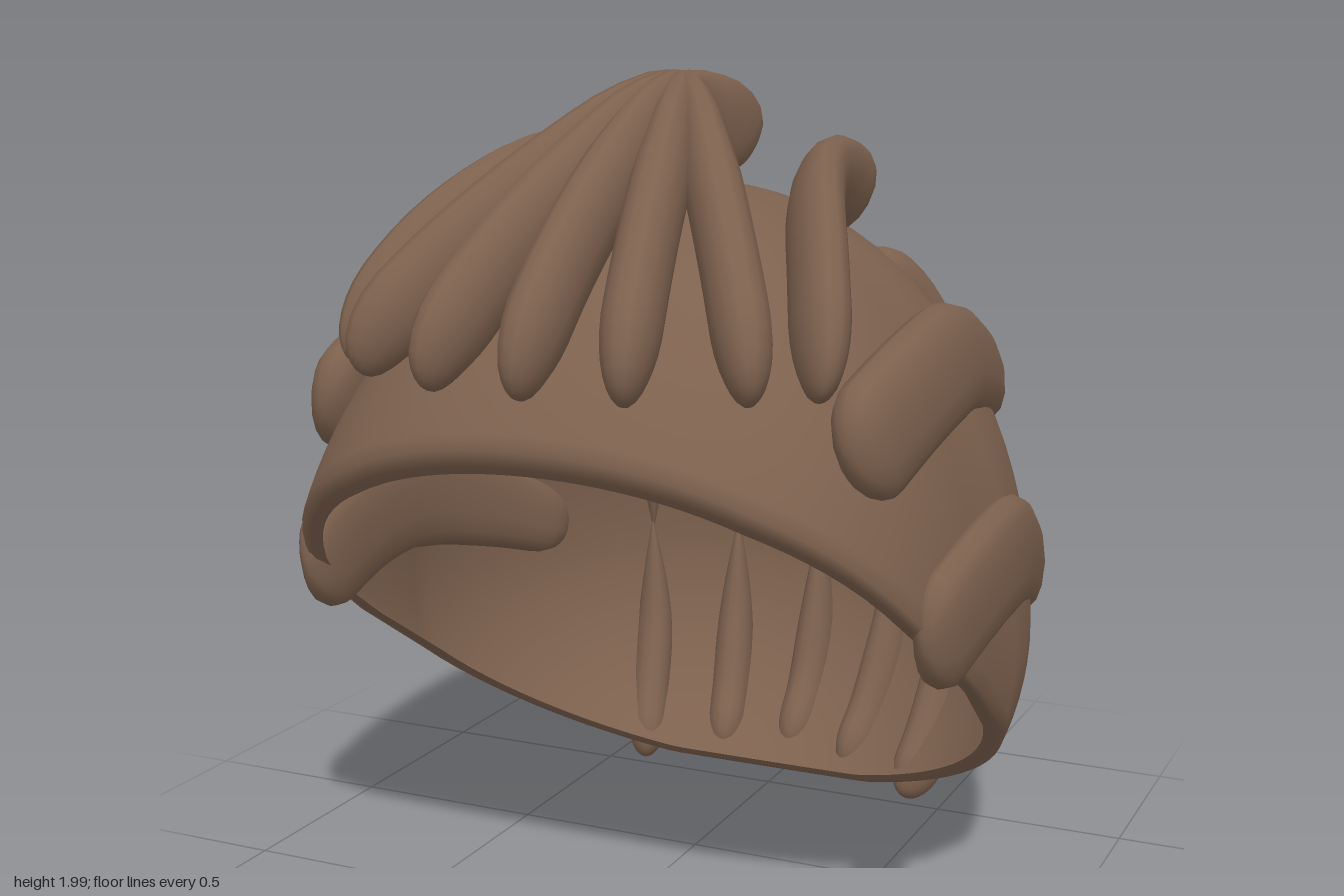
import * as THREE from 'three';
import { mergeVertices } from 'three/addons/utils/BufferGeometryUtils.js';

const CY = 0.62, RX = 0.84, TOP = 1.11, BOTTOM = 0.75, BACK = 0.91, FRONT = 1.085;
const V = (x, y, z) => new THREE.Vector3(x, y, z);

// Closed rings of points joined into one smooth surface
function loft(rings) {
  const n = rings[0].length, pos = [], idx = [];
  rings.forEach(r => r.forEach(p => pos.push(p.x, p.y, p.z)));
  for (let i = 0; i < rings.length - 1; i++) {
    for (let j = 0; j < n; j++) {
      const k = (j + 1) % n, a = i * n + j, b = i * n + k, c = a + n, d = b + n;
      idx.push(a, c, b, b, c, d);
    }
  }
  const g = new THREE.BufferGeometry();
  g.setAttribute('position', new THREE.Float32BufferAttribute(pos, 3));
  g.setIndex(idx);
  const m = mergeVertices(g, 1e-4);
  m.computeVertexNormals();
  return m;
}

// Dome: rounder at the back, squarer and fuller at the front
function domePoint(phi, theta) {
  const c = Math.cos(phi), r = Math.cos(theta), s = Math.sin(theta);
  const z = c > 0 ? FRONT * Math.pow(c, 0.53) : BACK * c;
  return V(RX * r * Math.sin(phi), CY + (s > 0 ? TOP : BOTTOM) * s, r * z);
}

// Height of the slanted opening at each depth
const RIM = [[-0.56, 0.025], [-0.5, 0.05], [0.08, 0.5], [0.3, 0.64], [0.55, 0.835], [0.83, 1.12], [0.91, 1.225]];
function rimY(z) {
  if (z <= RIM[0][0]) return RIM[0][1];
  for (let i = 1; i < RIM.length; i++) {
    const [z0, y0] = RIM[i - 1], [z1, y1] = RIM[i];
    if (z <= z1) return y0 + (y1 - y0) * (z - z0) / (z1 - z0);
  }
  return RIM[RIM.length - 1][1];
}

function capGeometry() {
  const N = 96, M = 28, rings = [];
  const ends = [];
  for (let j = 0; j < N; j++) {
    const phi = j / N * Math.PI * 2;
    let lo = -1.5, hi = 1.5;
    for (let k = 0; k < 40; k++) {
      const mid = (lo + hi) / 2, p = domePoint(phi, mid);
      if (p.y > rimY(p.z)) hi = mid; else lo = mid;
    }
    ends.push(hi);
  }
  for (let i = 0; i <= M; i++) {
    rings.push(ends.map((e, j) =>
      domePoint(j / N * Math.PI * 2, Math.PI / 2 + (e - Math.PI / 2) * i / M)));
  }
  // Rounded lip turned inward, deeper over the forehead
  const rim = rings[M], centre = V(0, 0.62, 0);
  for (const [inset, drop] of [[0.02, 0.03], [0.05, 0.035]]) {
    rings.push(rim.map(p => {
      const q = p.clone().add(centre.clone().sub(p).setLength(inset));
      q.y -= drop * Math.max(0.2, Math.min(1, p.z));
      return q;
    }));
  }
  return loft(rings);
}

// Lock of hair: w = half width along the dome, h = half height out of it.
// capA and capB are the lengths of the rounded or pointed ends. tilt is how
// far the lock leans square to the dome; box below 1 squares the section.
function lockGeometry(pts, { w, h, capA, capB, pointA = false, pointB = false, startW = 1, tilt = 1, box = 1 }) {
  const curve = new THREE.CatmullRomCurve3(pts), M = 28, N = 14, rings = [];
  const end = (t, e, point) => t >= e ? 1
    : point ? Math.sin(t / e * Math.PI / 2) : Math.sqrt(Math.max(0, 1 - (1 - t / e) ** 2));
  const round = v => Math.sign(v) * Math.pow(Math.abs(v), box);
  for (let i = 0; i <= M; i++) {
    const t = (1 - Math.cos(Math.PI * i / M)) / 2;
    const p = curve.getPointAt(t), T = curve.getTangentAt(t);
    const away = V(p.x, (p.y - 0.75) * tilt, p.z * tilt);
    const side = T.clone().cross(away).normalize();
    const out = side.clone().cross(T);
    const s = end(t, capA, pointA) * end(1 - t, capB, pointB);
    const ww = w * s * (startW + (1 - startW) * Math.min(1, t * 2));
    rings.push(Array.from({ length: N }, (_, j) => {
      const a = j / N * Math.PI * 2;
      return p.clone().addScaledVector(side, ww * round(Math.cos(a)))
        .addScaledVector(out, h * s * round(Math.sin(a)));
    }));
  }
  return loft(rings);
}

export function createModel() {
  const group = new THREE.Group();
  group.name = 'hair';
  const brown = new THREE.MeshStandardMaterial({ color: 0x7d614e, side: THREE.DoubleSide });
  brown.name = 'brown';

  const add = (name, geometry) => {
    const m = new THREE.Mesh(geometry, brown);
    m.name = name;
    group.add(m);
  };
  const addLock = (name, pts, opt) => add(name, lockGeometry(pts.map(p => V(...p)), opt));
  const addPair = (name, pts, opt) => {
    addLock(name + 'Left', pts, opt);
    addLock(name + 'Right', pts.map(([x, y, z]) => [-x, y, z]), opt);
  };

  add('cap', capGeometry());

  // Fringe: five locks gathered in a knot on the crown and fanned to the front
  const fan = [[1.9, 0], [1.875, 0.16], [1.815, 0.32], [1.7, 0.56], [1.555, 0.79], [1.43, 0.94], [1.335, 1]];
  [[0, 0.9], [0.235, 0.875], [0.47, 0.765]].forEach(([xe, ze], i) => {
    const pts = [[0.044 * i, 1.79, -0.13], [0.038 * i, 1.865, -0.05]];
    for (const [y, s] of fan) {
      pts.push([0.018 * i * (1 - s) + xe * s, y - 0.06 * i * s * (1 - s), 0.1 + (ze - 0.1) * s]);
    }
    const opt = { w: 0.066, h: 0.1, startW: 0.45, capA: 0.05, capB: 0.16 };
    if (i) addPair('fringeLock' + i, pts, opt); else addLock('fringeLockCentre', pts, opt);
  });

  // Curved locks down each side
  addPair('crownLock', [[0.33, 1.67, -0.23], [0.335, 1.725, -0.1], [0.35, 1.74, 0.05], [0.4, 1.695, 0.22],
    [0.485, 1.575, 0.42], [0.585, 1.34, 0.64]], { w: 0.062, h: 0.112, capA: 0.08, capB: 0.2 });
  addPair('upperSideLock', [[0.6, 1.17, -0.45], [0.64, 1.265, -0.25], [0.667, 1.335, 0.02], [0.675, 1.31, 0.3],
    [0.655, 1.21, 0.66]], { w: 0.142, h: 0.07, capA: 0.1, capB: 0.1, startW: 0.65, tilt: 0.2, box: 0.88 });
  addPair('lowerSideLock', [[0.69, 0.66, -0.59], [0.765, 0.79, -0.27], [0.805, 0.872, 0], [0.812, 0.865, 0.22],
    [0.79, 0.785, 0.55]], { w: 0.146, h: 0.058, capA: 0.1, capB: 0.1, startW: 0.6, tilt: 0, box: 0.8 });

  // Upper row at the back, pointed downward
  const upper = [
    [[0, 1.53, -0.51], [0, 1.41, -0.7], [0, 1.1, -0.845], [0, 0.64, -0.885]],
    [[0.16, 1.52, -0.48], [0.2, 1.39, -0.67], [0.245, 1.08, -0.795], [0.24, 0.64, -0.84]],
    [[0.275, 1.5, -0.4], [0.36, 1.36, -0.57], [0.45, 1.06, -0.69], [0.465, 0.64, -0.725]],
  ];
  // Lower row at the back, pointed upward
  const lower = [
    [[0, 0.68, -0.88], [0, 0.41, -0.87], [0, 0.22, -0.81], [0, 0.04, -0.66]],
    [[0.24, 0.68, -0.84], [0.24, 0.39, -0.82], [0.22, 0.19, -0.74], [0.19, 0.03, -0.61]],
    [[0.465, 0.68, -0.72], [0.455, 0.37, -0.71], [0.43, 0.16, -0.62], [0.395, 0.015, -0.52]],
  ];
  const rows = [
    ['upperBackLock', upper, { w: 0.076, h: 0.1, capA: 0.14, capB: 0.6, pointB: true }],
    ['lowerBackLock', lower, { w: 0.056, h: 0.078, capA: 0.6, pointA: true, capB: 0.16 }],
  ];
  for (const [name, row, opt] of rows) {
    row.forEach((pts, i) => i ? addPair(name + i, pts, opt) : addLock(name + 'Centre', pts, opt));
  }
  return group;
}
